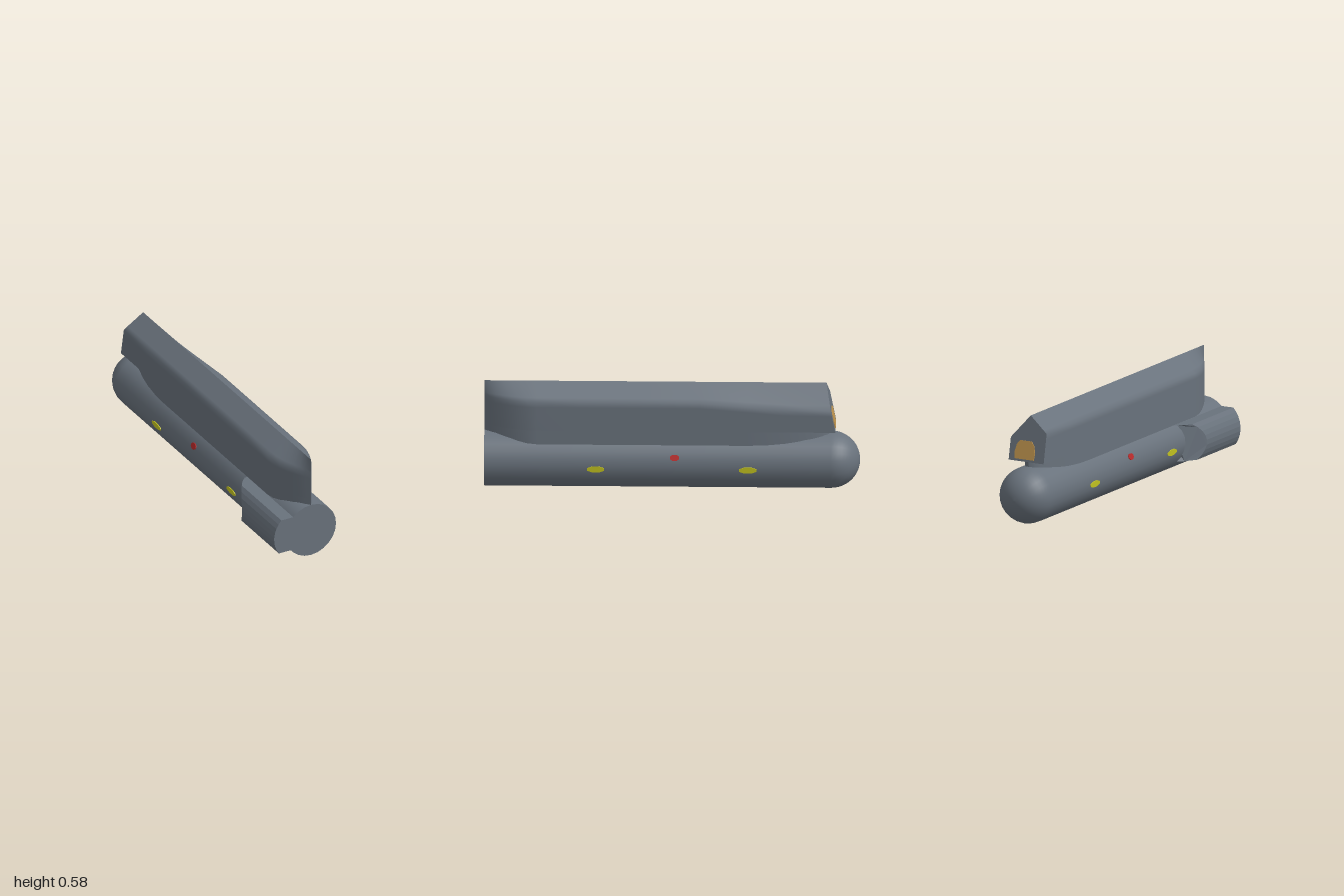
import * as THREE from 'three';

const CX = 0.035, CY = 0.155, R = 0.153; // main tube axis and radius

const mat = (name, color, side = THREE.FrontSide) => {
  const m = new THREE.MeshStandardMaterial({ color, side });
  m.name = name;
  return m;
};

// Skin between rows of points: rows run front to back, each row counterclockwise from the front
function loft(rows) {
  const n = rows[0].length, index = [];
  for (let i = 0; i < rows.length - 1; i++)
    for (let j = 0; j < n - 1; j++) {
      const a = i * n + j, b = a + 1, c = a + n, d = c + 1;
      index.push(a, c, b, b, c, d);
    }
  const g = new THREE.BufferGeometry();
  g.setAttribute('position', new THREE.Float32BufferAttribute(rows.flat(2), 3));
  g.setIndex(index);
  g.computeVertexNormals();
  return g;
}

// Flat face closing the back end of a loft
function backCap(row) {
  const index = [];
  for (let k = 1; k < row.length - 1; k++) index.push(0, k + 1, k);
  const g = new THREE.BufferGeometry();
  g.setAttribute('position', new THREE.Float32BufferAttribute(row.flat(), 3));
  g.setIndex(index);
  g.computeVertexNormals();
  return g;
}

export function createModel() {
  const group = new THREE.Group();
  const grey = mat('hullGrey', 0x69727c);
  const yellow = mat('markerYellow', 0xc8c820);
  const red = mat('markerRed', 0xb82a2a);
  const amber = mat('exhaustAmber', 0xc0954f);
  const add = (name, geo, m = grey) => {
    const mesh = new THREE.Mesh(geo, m);
    mesh.name = name;
    group.add(mesh);
    return mesh;
  };

  // Main tube with a domed back end
  const profile = [new THREE.Vector2(R, -1), new THREE.Vector2(R, 1 - R)];
  for (let i = 1; i <= 12; i++) {
    const t = (i / 12) * Math.PI / 2;
    profile.push(new THREE.Vector2(R * Math.cos(t), 1 - R + R * Math.sin(t)));
  }
  add('mainTube', new THREE.LatheGeometry(profile, 24).rotateX(-Math.PI / 2).translate(CX, CY, 0));
  add('tubeFrontFace', new THREE.CircleGeometry(R, 24).translate(CX, CY, 1));

  // Side pod: cut-off cylinder whose back end sweeps in toward the tube
  const pod = new THREE.Shape();
  pod.moveTo(CX, 0.065);
  pod.lineTo(CX, 0.263);
  const a0 = Math.PI - Math.asin(0.108 / R), a1 = Math.PI + Math.asin(0.09 / R);
  for (let i = 0; i <= 8; i++) {
    const a = a0 + (a1 - a0) * i / 8;
    if (i === 0) for (const x of [-0.05, -0.09, -0.12]) pod.lineTo(x, 0.263);
    pod.lineTo(-0.037 + R * Math.cos(a), CY + R * Math.sin(a));
  }
  for (const x of [-0.12, -0.09, -0.05]) pod.lineTo(x, 0.065);
  const podGeo = new THREE.ExtrudeGeometry(pod, { depth: 0.5, bevelEnabled: false });
  const p = podGeo.attributes.position;
  for (let i = 0; i < p.count; i++) {
    const t = Math.max(0, (-0.085 - p.getX(i)) / 0.105);
    p.setZ(i, p.getZ(i) > 0.25 ? 1 : 0.5 + 0.15 * Math.pow(t, 1.4));
  }
  podGeo.computeVertexNormals();
  add('sidePod', podGeo);

  // Half-width of the fin: a pointed prow at the front, then constant
  const finHalf = z => z < 0.72 ? 0.108 : 0.108 * (1 - Math.pow((z - 0.72) / 0.28, 1.8));
  const prow = [1, 0.97, 0.94, 0.9, 0.86, 0.82, 0.77, 0.72];
  const finZ = [...prow, 0.5, 0.2, -0.15, -0.4, -0.6, -0.87];
  const sides = { finRightSide: [], finLeftSide: [] };
  const under = [];
  for (const z of finZ) {
    const h = finHalf(z);
    const drop = 0.04 * THREE.MathUtils.clamp((-0.15 - z) / 0.5, 0, 1);
    const shoulder = 0.5 - drop;
    // the back end leans forward toward the ridge
    const pt = (x, y) => [CX + x, y, z === -0.87 ? z + (y - 0.34) * 0.2 : z];
    sides.finLeftSide.push([pt(h, 0.34), pt(h, shoulder - 0.03), pt(h, shoulder), pt(h * 0.8, shoulder + (0.585 - shoulder) * 0.2), pt(0, 0.585)]);
    sides.finRightSide.push([pt(0, 0.585), pt(-h * 0.8, 0.517), pt(-h, 0.5), pt(-h, 0.47), pt(-h, 0.34)]);
    under.push([pt(-h, 0.34), pt(h, 0.34)]);
  }
  for (const name in sides) add(name, loft(sides[name]));
  add('finUnderside', loft(under));
  const last = finZ.length - 1;
  add('finBackFace', backCap([...sides.finLeftSide[last], ...sides.finRightSide[last].slice(1)]));

  // Pylon joining fin and tube, rounded to a point at the back
  const pylonZ = [...prow, 0, -0.4, -0.5, -0.6, -0.68, -0.75, -0.8, -0.83, -0.845];
  const pylonHalf = z => z > -0.4 ? finHalf(z) : 0.108 * Math.sqrt(Math.max(0, 1 - ((z + 0.4) / 0.445) ** 2));
  for (const s of [1, -1])
    add(s > 0 ? 'pylonLeftSide' : 'pylonRightSide', loft(pylonZ.map(z => {
      const x = CX + s * pylonHalf(z);
      return s > 0 ? [[x, 0.2, z], [x, 0.345, z]] : [[x, 0.345, z], [x, 0.2, z]];
    })));

  // Exhaust plate on the sloping back face of the fin
  const plate = new THREE.Shape();
  [[-0.058, 0.012], [0.058, 0.012], [0.062, 0.05], [0.053, 0.09], [0.035, 0.112],
    [-0.035, 0.112], [-0.053, 0.09], [-0.062, 0.05]].forEach(([x, y], i) => i ? plate.lineTo(x, y) : plate.moveTo(x, y));
  const exhaust = add('exhaustPlate', new THREE.ExtrudeGeometry(plate, { depth: 0.006, bevelEnabled: false }).translate(0, 0, -0.004), amber);
  exhaust.position.set(CX + 0.012, 0.34, -0.87);
  exhaust.rotation.x = Math.atan(0.2);

  // Marker lights along both flanks
  const marks = [['yellowMarker', 0.405, 0.14, 0.046, 0.017, yellow],
    ['yellowMarker', -0.405, 0.14, 0.046, 0.017, yellow],
    ['redMarker', -0.015, 0.205, 0.024, 0.017, red]];
  for (const [name, z, y, halfL, halfH, m] of marks)
    for (const s of [1, -1]) {
      const t = Math.asin((y - CY) / R);
      const g = new THREE.CylinderGeometry(1, 1, 0.008, 8).rotateY(Math.PI / 8).rotateZ(Math.PI / 2).scale(1, halfH * 1.08, halfL * 1.08);
      const light = add(name, g, m);
      light.position.set(CX + s * 0.152 * Math.cos(t), CY + 0.152 * Math.sin(t), z);
      light.rotation.z = s * t;
    }
  return group;
}
